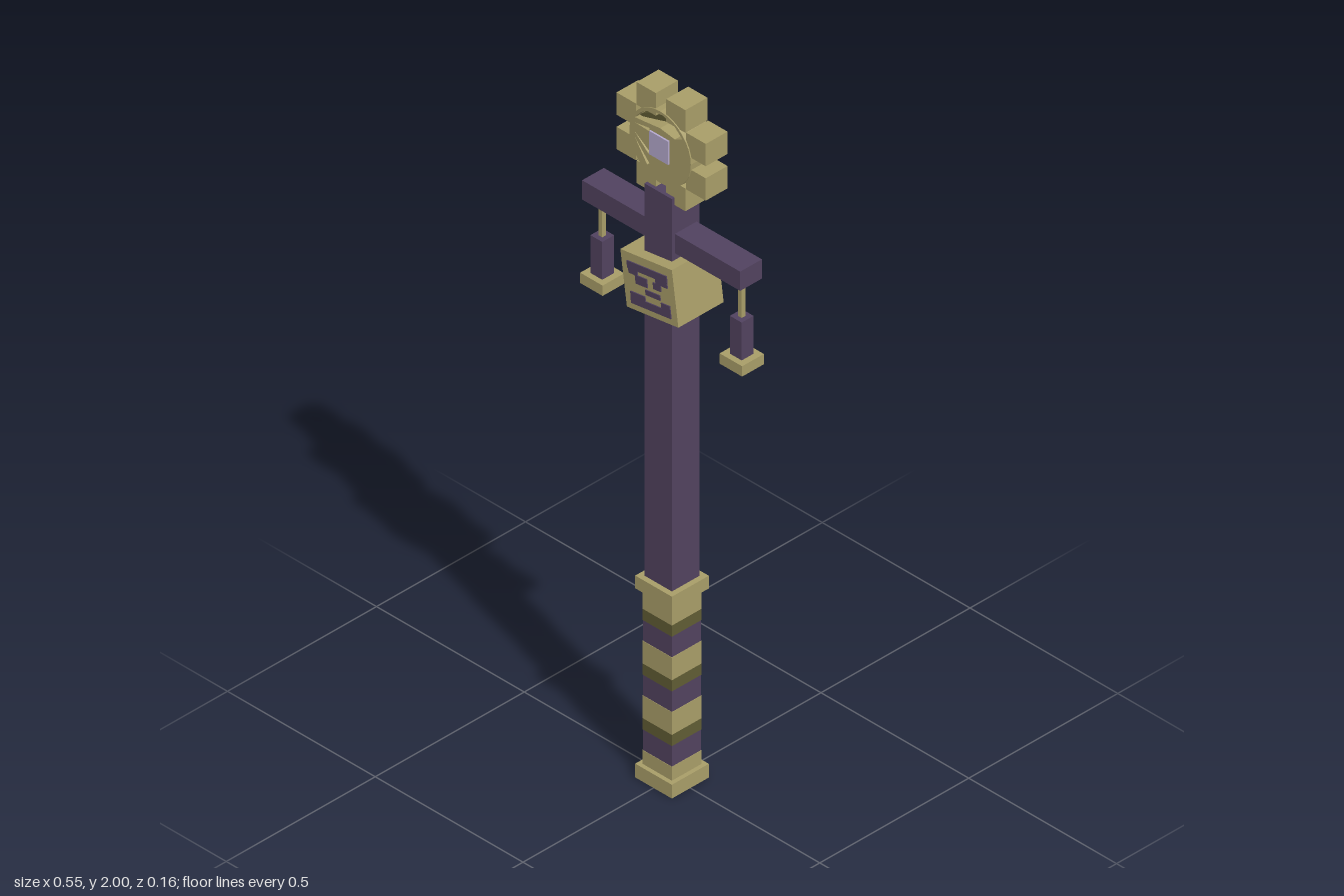
import * as THREE from 'three';

const mat = (name, color) => {
  const m = new THREE.MeshStandardMaterial({ color });
  m.name = name;
  return m;
};

export function createModel() {
  const gold = mat('paleGold', 0xa89d68);
  const purple = mat('darkPurple', 0x51425f);
  const olive = mat('darkOlive', 0x605c34);
  const lilac = mat('lilac', 0xb4a8cc);
  const root = new THREE.Group();
  root.name = 'staff';

  const box = (name, m, w, h, d, x, y, z, parent = root) => {
    const mesh = new THREE.Mesh(new THREE.BoxGeometry(w, h, d), m);
    mesh.name = name;
    mesh.position.set(x, y, z);
    parent.add(mesh);
    return mesh;
  };
  const span = (name, m, w, y0, y1, d = w) => box(name, m, w, y1 - y0, d, 0, (y0 + y1) / 2, 0);

  // Striped grip between two caps
  span('bottomCap', gold, 0.124, 0, 0.04);
  span('gripCollar', gold, 0.124, 0.55, 0.587);
  span('gripBase', gold, 0.1, 0.04, 0.08);
  for (let i = 0; i < 3; i++) {
    const y = 0.08 + i * 0.159;
    span('purpleStripe', purple, 0.098, y, y + 0.06);
    span('oliveStripe', olive, 0.099, y + 0.06, y + 0.093);
    span('goldStripe', gold, 0.1, y + 0.093, y + 0.159);
  }
  span('gripTop', gold, 0.1, 0.545, 0.551);

  // Shaft and crossbar
  span('shaft', purple, 0.093, 0.587, 1.728);
  span('crossbar', purple, 0.535, 1.566, 1.622, 0.073);

  // Hanging weights
  for (const s of [-1, 1]) {
    const g = new THREE.Group();
    g.name = s > 0 ? 'leftPendant' : 'rightPendant';
    g.position.x = s * 0.236;
    root.add(g);
    box('cord', gold, 0.013, 0.11, 0.013, 0, 1.512, 0, g);
    box('weight', purple, 0.04, 0.112, 0.04, 0, 1.404, 0, g);
    box('weightFoot', gold, 0.076, 0.03, 0.073, 0, 1.335, 0, g);
  }

  // Tilted block with inlaid pattern on front and back
  const block = new THREE.Group();
  block.name = 'tiltedBlock';
  block.position.y = 1.46;
  block.rotation.z = 0.14;
  root.add(block);
  box('blockBody', gold, 0.176, 0.158, 0.152, 0, 0, 0, block);
  const inlay = [ // x, y, width, height
    [0, 0.046, 0.136, 0.02], [-0.05, 0.03, 0.03, 0.014], [0.047, 0.03, 0.04, 0.016],
    [-0.024, 0.012, 0.04, 0.024], [0.03, 0.014, 0.026, 0.018],
    [0, -0.051, 0.136, 0.02], [-0.042, -0.035, 0.05, 0.014], [0.053, -0.034, 0.03, 0.016],
    [0.012, -0.014, 0.05, 0.014],
  ];
  for (const s of [-1, 1]) {
    for (const [x, y, w, h] of inlay) box('inlay', purple, w, h, 0.005, s * x, y, s * 0.0765, block);
  }

  // Round head with an open crescent and slits fanning from one side
  const head = new THREE.Group();
  head.name = 'head';
  head.position.y = 1.853;
  root.add(head);
  const disc = new THREE.Shape().absarc(0, 0, 0.104, 0, Math.PI * 2);
  const cut = (pts) => disc.holes.push(new THREE.Path(pts.map(([x, y]) => new THREE.Vector2(x, y))));
  cut([[-0.085, 0.045], [-0.065, 0.07], [-0.03, 0.092], [0.01, 0.096], [0.05, 0.083],
    [0.075, 0.06], [0.05, 0.047], [0.0, 0.055], [-0.04, 0.05]]);
  cut([[-0.085, 0.03], [-0.035, 0.038], [-0.035, 0.028]]);
  cut([[-0.088, 0.005], [-0.035, -0.03], [-0.04, -0.038]]);
  cut([[-0.086, -0.012], [-0.035, -0.066], [-0.044, -0.072]]);
  const ring = new THREE.ExtrudeGeometry(disc, { depth: 0.08, bevelEnabled: false, curveSegments: 16 });
  ring.translate(0, 0, -0.04);
  const ringMesh = new THREE.Mesh(ring, gold);
  ringMesh.name = 'headDisc';
  head.add(ringMesh);

  // Dark curved strand crossing the opening
  const strand = new THREE.Shape();
  strand.moveTo(-0.088, 0.042);
  strand.quadraticCurveTo(-0.04, 0.09, 0.055, 0.088);
  strand.quadraticCurveTo(0.0, 0.066, -0.088, 0.042);
  const strandGeo = new THREE.ExtrudeGeometry(strand, { depth: 0.05, bevelEnabled: false, curveSegments: 6 });
  strandGeo.translate(0, 0, -0.025);
  const strandMesh = new THREE.Mesh(strandGeo, olive);
  strandMesh.name = 'strand';
  head.add(strandMesh);

  // Eight square teeth and the centre gem
  for (const sx of [-1, 1]) {
    for (const sy of [-1, 1]) {
      box('tooth', gold, 0.065, 0.066, 0.074, sx * 0.05, sy * 0.114, 0, head);
      box('tooth', gold, 0.066, 0.065, 0.073, sx * 0.118, sy * 0.05, 0, head);
    }
  }
  box('gem', lilac, 0.064, 0.068, 0.09, 0, 0, 0, head);

  return root;
}
